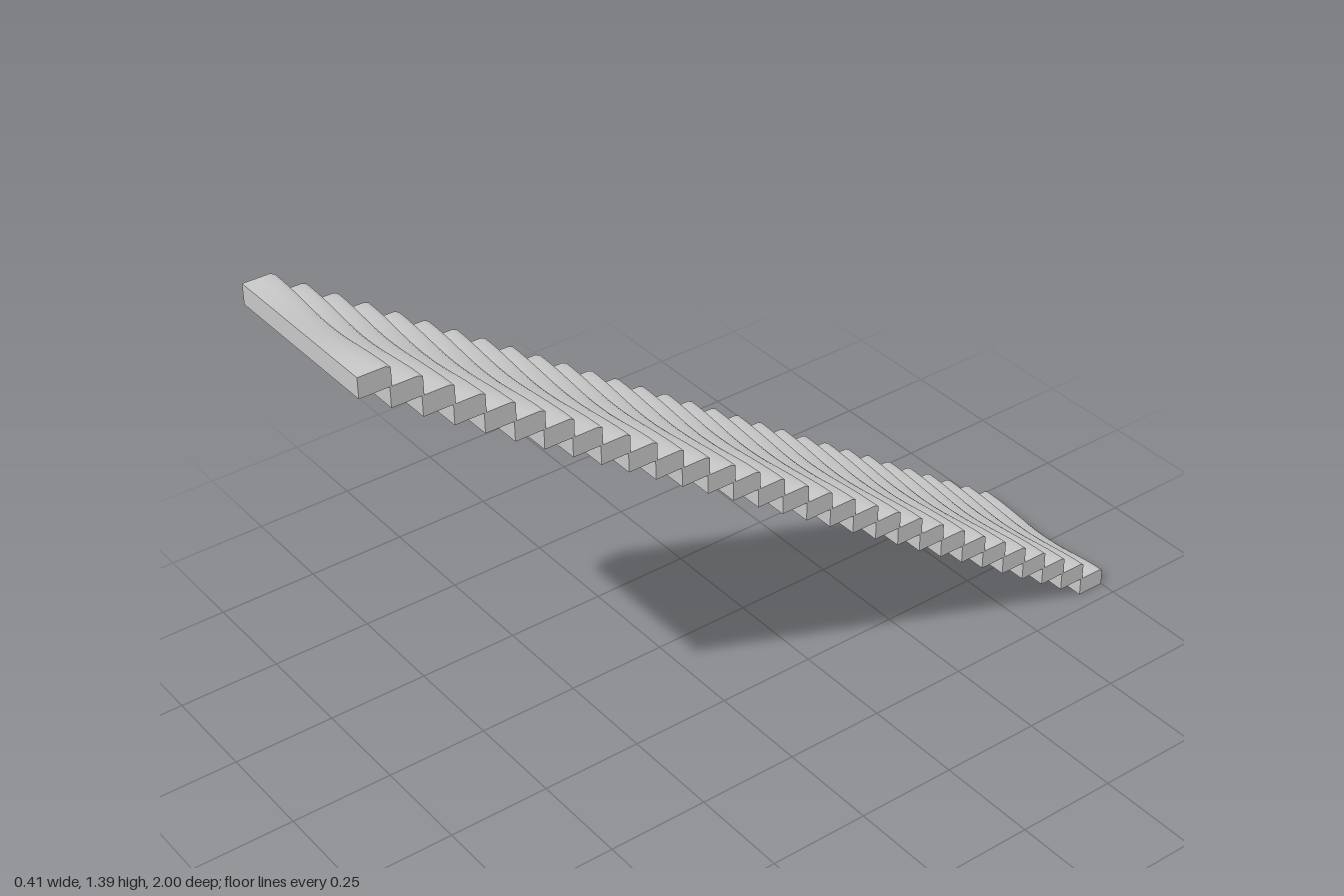
import * as THREE from 'three';

const STEPS = 30, WIDTH = 0.415, DEPTH = 0.0715, RISE = 0.0465;
const RUN = (2 - DEPTH) / (STEPS - 1);

// one stone step: a block whose nosing (facing -z) is worn hollow in the middle
function wornStep(dip, shift) {
  const g = new THREE.BoxGeometry(WIDTH, RISE, DEPTH, 16, 1, 4);
  const p = g.attributes.position;
  for (let i = 0; i < p.count; i++) {
    if (p.getY(i) < 0) continue;
    const u = p.getX(i) / (WIDTH / 2);
    const t = Math.round((0.5 - p.getZ(i) / DEPTH) * 4); // 0 back, 4 nosing
    const across = Math.pow(Math.cos(u * Math.PI / 2), 2) * (1 + shift * u);
    const along = [0, 0.22, 0.55, 0.9, 1][t];
    let y = RISE / 2 - dip * across * along;
    if (t === 3) p.setZ(i, -DEPTH / 2 + 0.011);
    if (t === 4) {
      y -= 0.005; // softened front edge
      p.setZ(i, -DEPTH / 2 + 0.004 * across);
    }
    p.setY(i, y);
  }
  g.computeVertexNormals();
  return g;
}

export function createModel() {
  const group = new THREE.Group();
  group.name = 'staircase';
  const material = new THREE.MeshStandardMaterial({ color: 0xcccccc });

  // a few wear patterns, repeated up the flight
  const treads = [[0.012, 0.3], [0.010, -0.3], [0.013, 0], [0.011, 0.2]]
    .map(([dip, shift]) => wornStep(dip, shift));

  // flight climbs from the back (-z) to the front (+z)
  for (let i = 0; i < STEPS; i++) {
    const step = new THREE.Mesh(treads[(i * 3) % treads.length], material);
    step.name = `step${i + 1}`;
    step.position.set(0, RISE * (i + 0.5), -1 + DEPTH / 2 + RUN * i);
    group.add(step);
  }
  return group;
}
